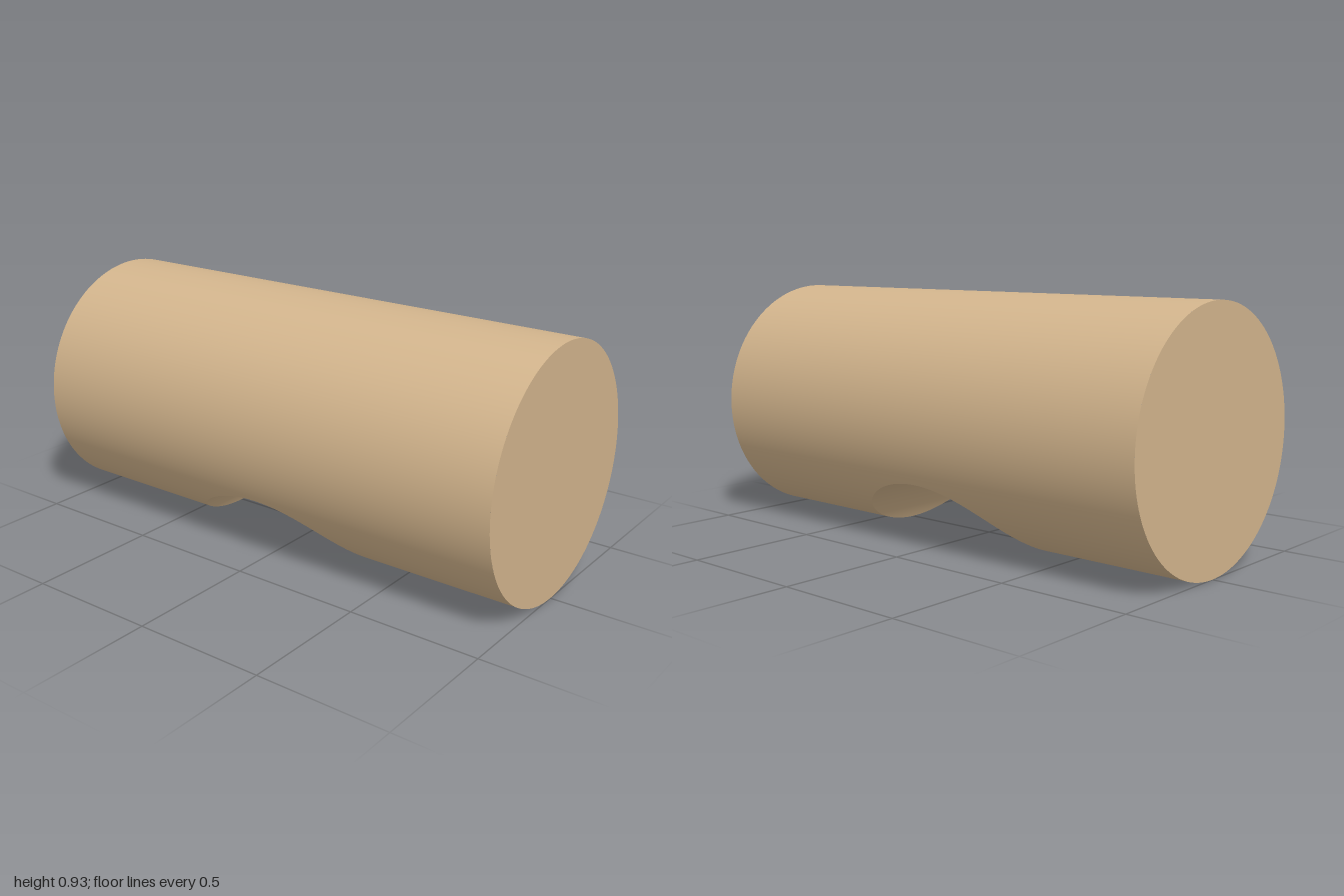
import * as THREE from 'three';

const R = 0.467;            // log radius
const HALF = 1;             // half length of the log
const NOTCH_TOP = 0.25;     // highest point of the notch
const NOTCH_R = 0.477;      // radius of the round notch across the log
const NOTCH_Y = NOTCH_TOP - NOTCH_R;
const PHI_MAX = Math.acos(-NOTCH_Y / NOTCH_R);

// half width of the log at height y
const halfWidth = (y) => Math.sqrt(Math.max(0, 2 * R * y - y * y));

// smooth surface from a rule (u, v) -> { p: position, n: normal }
function surface(nu, nv, rule) {
  const geo = new THREE.PlaneGeometry(1, 1, nu, nv);
  const { position, normal, uv } = geo.attributes;
  for (let i = 0; i < position.count; i++) {
    const { p, n } = rule(uv.getX(i), uv.getY(i));
    position.setXYZ(i, ...p);
    normal.setXYZ(i, ...n);
  }
  return geo;
}

export function createModel() {
  const group = new THREE.Group();
  const wood = new THREE.MeshStandardMaterial({ color: 0xd2b48c });
  const add = (name, geo) => {
    const mesh = new THREE.Mesh(geo, wood);
    mesh.name = name;
    group.add(mesh);
    return mesh;
  };
  const radial = (y, z) => [0, (y - R) / R, z / R];

  // full-length bark above the notch
  const start = Math.asin((NOTCH_TOP - R) / R);
  add('upperBark', surface(1, 96, (u, v) => {
    const a = start + v * (Math.PI - 2 * start);
    const y = R + R * Math.sin(a), z = R * Math.cos(a);
    return { p: [(u * 2 - 1) * HALF, y, z], n: radial(y, z) };
  }));

  // bark below, on either side of the notch
  for (const side of [1, -1]) {
    add(side > 0 ? 'lowerBarkLeft' : 'lowerBarkRight', surface(8, 64, (u, v) => {
      const t = v * 2 - 1;
      const phi = PHI_MAX * (1 - t * t);
      const y = Math.max(0, NOTCH_Y + NOTCH_R * Math.cos(phi));
      const z = Math.sign(t) * halfWidth(y);
      const inner = NOTCH_R * Math.sin(phi);
      const x = side * THREE.MathUtils.lerp(inner, HALF, side > 0 ? u : 1 - u);
      return { p: [x, y, z], n: radial(y, z) };
    }));
  }

  // round saddle notch cut across the underside
  add('saddleNotch', surface(64, 8, (u, v) => {
    const s = u * 2 - 1;
    const phi = PHI_MAX * Math.sign(s) * (1 - (1 - Math.abs(s)) ** 2);
    const y = Math.max(0, NOTCH_Y + NOTCH_R * Math.cos(phi));
    return {
      p: [NOTCH_R * Math.sin(phi), y, (v * 2 - 1) * halfWidth(y)],
      n: [-Math.sin(phi), -Math.cos(phi), 0],
    };
  }));

  // flat sawn ends
  for (const side of [1, -1]) {
    const end = add(side > 0 ? 'endLeft' : 'endRight', new THREE.CircleGeometry(R, 128));
    end.rotation.y = side * Math.PI / 2;
    end.position.set(side * HALF, R, 0);
  }
  return group;
}
